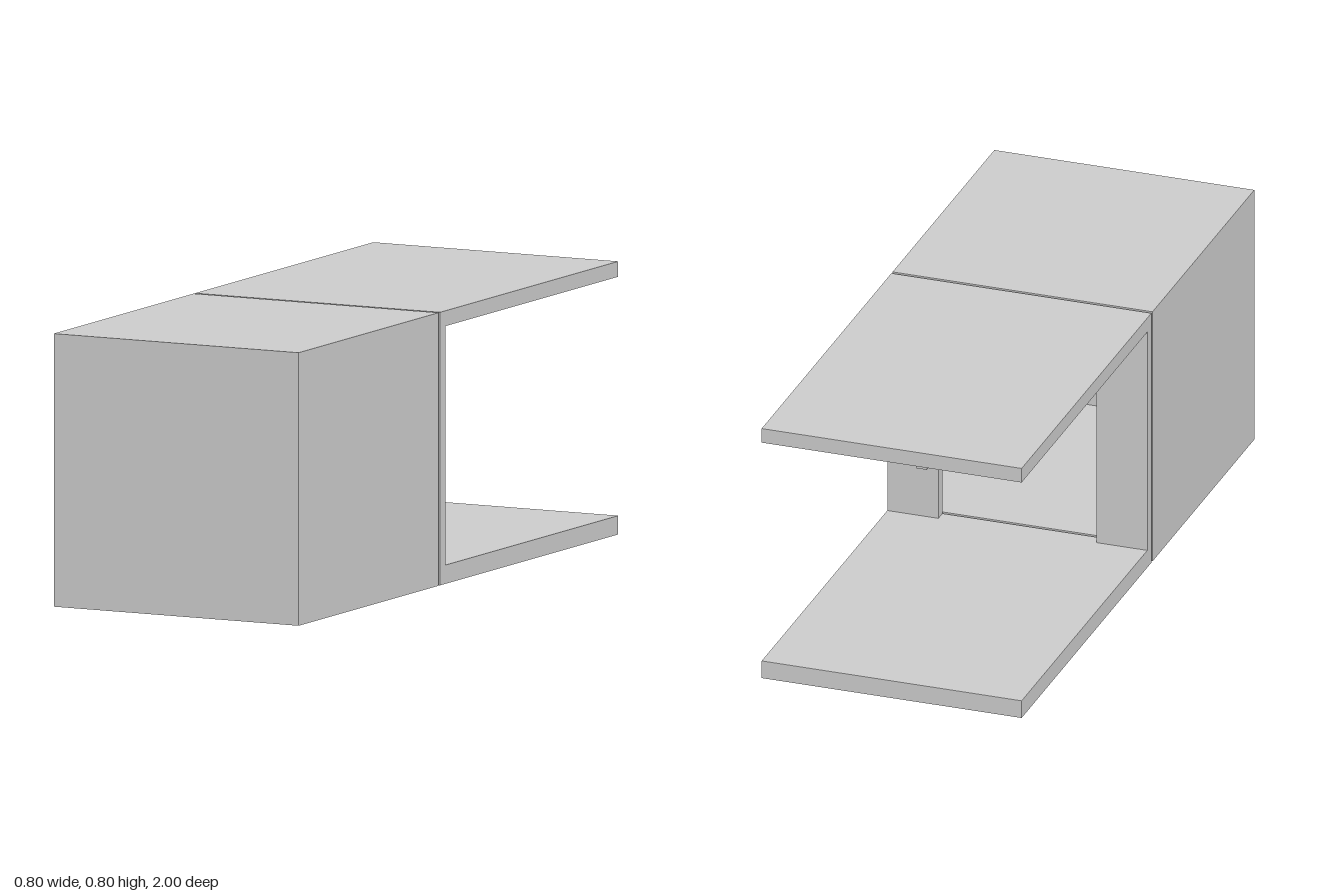
import * as THREE from 'three';

const material = new THREE.MeshStandardMaterial({ color: 0xcccccc, flatShading: true });
const HALF = 0.4, TOP = 0.8, FLOOR = 0.055, CEILING = 0.755;

// Box given by its minimum and maximum corners
function block(name, [x0, y0, z0], [x1, y1, z1]) {
  const mesh = new THREE.Mesh(new THREE.BoxGeometry(x1 - x0, y1 - y0, z1 - z0), material);
  mesh.position.set((x0 + x1) / 2, (y0 + y1) / 2, (z0 + z1) / 2);
  mesh.name = name;
  return mesh;
}

// Flat outline in x and y, extruded from z0 to z1
function slab(name, outline, hole, z0, z1) {
  const points = (list) => list.map(([x, y]) => new THREE.Vector2(x, y));
  const shape = new THREE.Shape(points(outline));
  if (hole) shape.holes.push(new THREE.Path(points(hole)));
  const geometry = new THREE.ExtrudeGeometry(shape, { depth: z1 - z0, bevelEnabled: false });
  const mesh = new THREE.Mesh(geometry, material);
  mesh.position.z = z0;
  mesh.name = name;
  return mesh;
}

const rect = (x0, y0, x1, y1) => [[x0, y0], [x1, y0], [x1, y1], [x0, y1]];

export function createModel() {
  const model = new THREE.Group();
  model.name = 'twoPartRoom';

  // Closed room: a hollow sleeve open to the back, shut by a front wall
  const room = new THREE.Group();
  room.name = 'closedRoom';
  room.add(
    slab('roomShell', rect(-HALF, 0, HALF, TOP), rect(-0.35, FLOOR, 0.35, CEILING), 0.125, 0.95),
    block('frontWall', [-HALF, 0, 0.95], [HALF, TOP, 1]),
  );

  // Open section: floor, ceiling and a dividing wall with a doorway
  const open = new THREE.Group();
  open.name = 'openSection';
  const door = 0.243, lintel = 0.545;
  open.add(
    block('floor', [-HALF, 0, -1], [HALF, FLOOR, 0.115]),
    block('ceiling', [-HALF, CEILING, -1], [HALF, TOP, 0.115]),
    slab('doorwayWall', [
      [-HALF, FLOOR], [-door, FLOOR], [-door, lintel], [door, lintel],
      [door, FLOOR], [HALF, FLOOR], [HALF, CEILING], [-HALF, CEILING],
    ], null, 0.08, 0.115),
    block('wallSwitch', [0.275, 0.21, 0.07], [0.308, 0.31, 0.08]),
  );

  model.add(room, open);
  return model;
}
